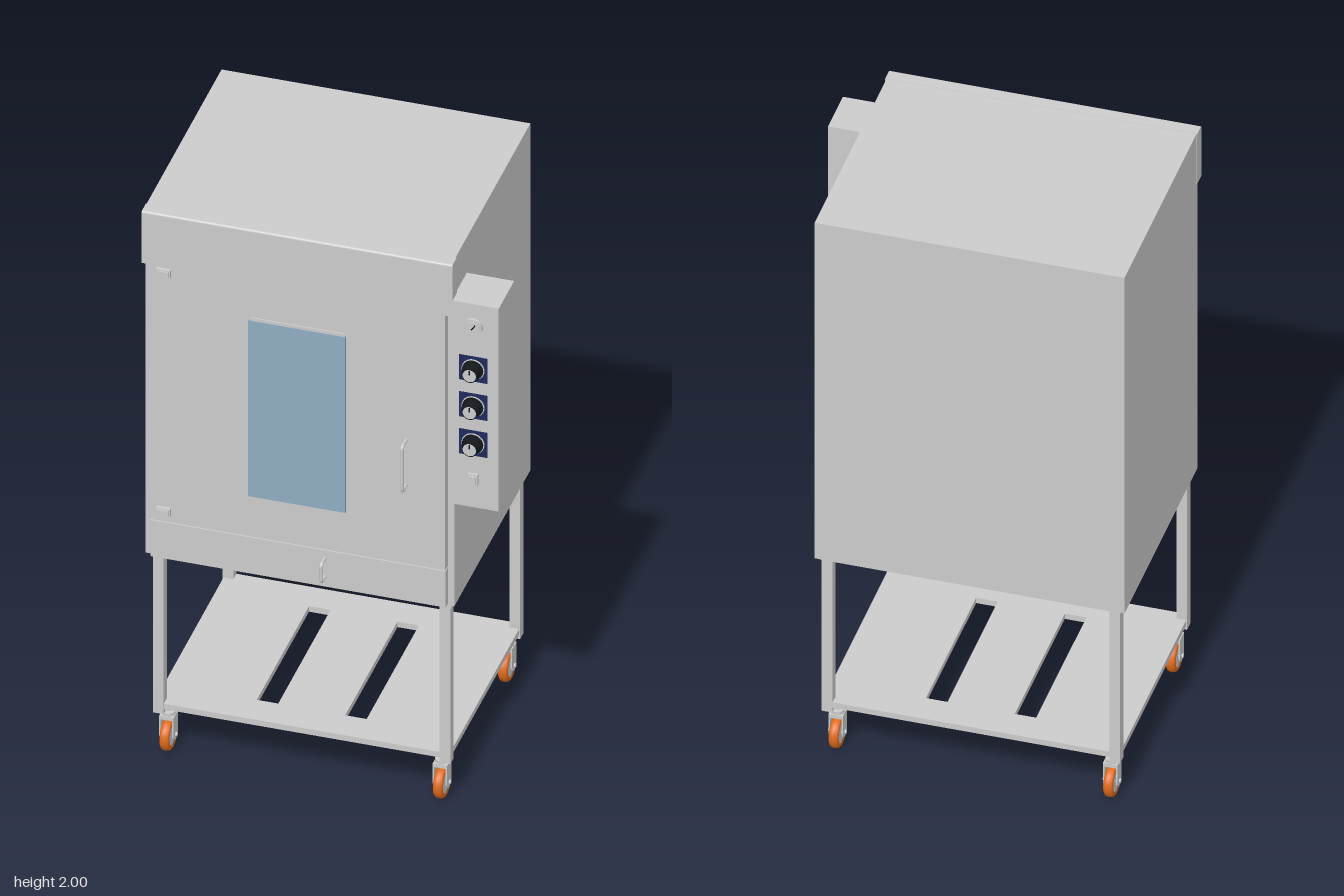
import * as THREE from 'three';

const paint = (color) => new THREE.MeshStandardMaterial({ color });
const grey = paint(0xcccccc);
const orange = paint(0xe06a1c);
const black = paint(0x14181c);
const navy = paint(0x1f2a5c);
const glass = paint(0x8fadc2);

export function createModel() {
  const model = new THREE.Group();
  const CX = -0.075; // centre line of the cabinet

  const add = (name, geometry, material = grey, parent = model) => {
    const mesh = new THREE.Mesh(geometry, material);
    mesh.name = name;
    parent.add(mesh);
    return mesh;
  };
  // Box given by its limits on each axis
  const box = (name, x0, x1, y0, y1, z0, z1, material, parent) => {
    const mesh = add(name, new THREE.BoxGeometry(x1 - x0, y1 - y0, z1 - z0), material, parent);
    mesh.position.set((x0 + x1) / 2, (y0 + y1) / 2, (z0 + z1) / 2);
    return mesh;
  };
  // Cylinder lying along z, from z0 to z1
  const disc = (name, x, y, z0, z1, r, material, parent, sides = 32, r1 = r) => {
    const g = new THREE.CylinderGeometry(r1, r, z1 - z0, sides).rotateX(Math.PI / 2);
    const mesh = add(name, g, material, parent);
    mesh.position.set(x, y, (z0 + z1) / 2);
    return mesh;
  };
  // Upright bow handle: two posts joined by a rounded bar
  const handle = (name, x, y0, y1, z0, z1, r) => {
    const b = 0.012;
    const v = (y, z) => new THREE.Vector3(x, y, z);
    const path = new THREE.CurvePath();
    path.add(new THREE.LineCurve3(v(y0, z0), v(y0, z1 - b)));
    path.add(new THREE.QuadraticBezierCurve3(v(y0, z1 - b), v(y0, z1), v(y0 + b, z1)));
    path.add(new THREE.LineCurve3(v(y0 + b, z1), v(y1 - b, z1)));
    path.add(new THREE.QuadraticBezierCurve3(v(y1 - b, z1), v(y1, z1), v(y1, z1 - b)));
    path.add(new THREE.LineCurve3(v(y1, z1 - b), v(y1, z0)));
    add(name, new THREE.TubeGeometry(path, 80, r, 10));
  };

  // Cabinet and the hood across its top front
  box('cabinet', -0.565, 0.413, 0.735, 1.999, -0.425, 0.347);
  const r = 0.008;
  const profile = new THREE.Shape();
  profile.moveTo(0.335, 1.812);
  profile.lineTo(0.38, 1.812);
  profile.lineTo(0.38, 2 - r);
  profile.quadraticCurveTo(0.38, 2, 0.38 - r, 2);
  profile.lineTo(0.335, 2);
  const hood = add('hood', new THREE.ExtrudeGeometry(profile, { depth: 0.984, bevelEnabled: false, curveSegments: 6 }));
  hood.rotation.y = -Math.PI / 2;
  hood.position.x = 0.417;
  // The profile is drawn in z and y, so it is turned to run along x

  // Door, with a slim window frame and pane, and the drawer below
  box('door', -0.542, 0.393, 0.88, 1.809, 0.345, 0.375);
  box('drawerFront', -0.542, 0.393, 0.742, 0.874, 0.345, 0.371);
  box('windowFrame', -0.223, 0.073, 1.018, 1.68, 0.37, 0.379);
  box('windowPane', -0.23, 0.078, 1.03, 1.67, 0.372, 0.381, glass);
  for (const y of [1.79, 0.92]) {
    box('hinge', -0.52, -0.475, y - 0.014, y + 0.014, 0.37, 0.388);
    box('hingeCap', -0.515, -0.48, y - 0.01, y + 0.01, 0.388, 0.392);
  }
  handle('doorHandle', 0.268, 1.167, 1.33, 0.37, 0.414, 0.006);
  handle('drawerHandle', 0.01, 0.78, 0.845, 0.366, 0.407, 0.006);

  // Control box with gauge, three knobs and a switch
  const controls = new THREE.Group();
  controls.name = 'controlPanel';
  model.add(controls);
  const KX = 0.483;
  box('controlBox', 0.405, 0.563, 1.13, 1.87, 0.22, 0.377, grey, controls);
  disc('gaugeRim', KX, 1.79, 0.375, 0.39, 0.03, grey, controls);
  disc('gaugeFace', KX, 1.79, 0.39, 0.393, 0.024, paint(0xe8e8e8), controls);
  box('gaugeNeedle', -0.002, 0.002, -0.003, 0.018, -0.001, 0.001, black, controls)
    .position.set(KX + 0.004, 1.795, 0.394);
  controls.children.at(-1).rotation.z = -0.6;
  for (const y of [1.635, 1.5, 1.365]) {
    box('knobPlate', KX - 0.045, KX + 0.045, y - 0.045, y + 0.045, 0.375, 0.38, navy, controls);
    disc('knobScale', KX, y, 0.379, 0.383, 0.036, grey, controls);
    disc('knobSkirt', KX, y, 0.383, 0.389, 0.033, black, controls);
    disc('knob', KX, y, 0.388, 0.418, 0.028, black, controls, 24, 0.025);
    disc('knobCap', KX, y, 0.417, 0.42, 0.021, grey, controls);
    box('knobMark', KX - 0.002, KX + 0.002, y + 0.004, y + 0.02, 0.419, 0.421, black, controls);
  }
  box('switchBezel', KX - 0.016, KX + 0.016, 1.216, 1.254, 0.375, 0.386, grey, controls);
  box('switchRocker', KX - 0.011, KX + 0.011, 1.221, 1.249, 0.386, 0.392, grey, controls);

  // Stand: top frame, four legs and a slotted shelf
  const stand = new THREE.Group();
  stand.name = 'stand';
  model.add(stand);
  const X0 = -0.545, X1 = 0.397, Z0 = -0.405, Z1 = 0.337, T = 0.034;
  box('topFrame', X0 - 0.006, X1 + 0.005, 0.721, 0.738, Z0 - 0.004, Z1 + 0.004, grey, stand);
  for (const x of [X0, X1 - T]) {
    for (const z of [Z0, Z1 - T]) box('leg', x, x + T, 0.15, 0.722, z, z + T, grey, stand);
  }
  const rect = (S, x0, x1, y0, y1) => {
    const s = new S();
    s.moveTo(x0, y0);
    s.lineTo(x1, y0);
    s.lineTo(x1, y1);
    s.lineTo(x0, y1);
    s.closePath();
    return s;
  };
  const shelfShape = rect(THREE.Shape, X0 + 0.003, X1 - 0.003, -Z1 + 0.003, -Z0 - 0.003);
  for (const side of [-1, 1]) {
    const x = CX + side * 0.14;
    shelfShape.holes.push(rect(THREE.Path, x - 0.034, x + 0.034, -0.23, 0.3));
  }
  const shelf = add('shelf', new THREE.ExtrudeGeometry(shelfShape, { depth: 0.02, bevelEnabled: false }), grey, stand);
  shelf.rotation.x = -Math.PI / 2;
  shelf.position.y = 0.166;

  // Casters: rounded tyre, grey hub, fork and stem
  const tyre = [[0.036, -0.014], [0.046, -0.015], [0.051, -0.011], [0.054, 0], [0.051, 0.011], [0.046, 0.015], [0.036, 0.014]]
    .map(([a, b]) => new THREE.Vector2(a, b));
  const cheek = new THREE.Shape();
  cheek.moveTo(-0.022, 0.128);
  cheek.lineTo(-0.022, 0.06);
  cheek.absarc(0, 0.06, 0.022, Math.PI, Math.PI * 2, false);
  cheek.lineTo(0.022, 0.128);
  cheek.closePath();
  for (const x of [-0.508, 0.358]) {
    for (const z of [0.295, -0.365]) {
      const caster = new THREE.Group();
      caster.name = 'caster';
      caster.position.set(x, 0, z);
      model.add(caster);
      const wheel = add('tyre', new THREE.LatheGeometry(tyre, 36).rotateZ(Math.PI / 2), orange, caster);
      wheel.position.y = 0.054;
      const hub = add('hub', new THREE.CylinderGeometry(0.037, 0.037, 0.026, 32).rotateZ(Math.PI / 2), grey, caster);
      hub.position.y = 0.054;
      const axle = add('axle', new THREE.CylinderGeometry(0.007, 0.007, 0.056, 12).rotateZ(Math.PI / 2), grey, caster);
      axle.position.y = 0.056;
      for (const s of [-1, 1]) {
        const plate = add('forkCheek', new THREE.ExtrudeGeometry(cheek, { depth: 0.005, bevelEnabled: false }), grey, caster);
        plate.rotation.y = Math.PI / 2;
        plate.position.x = s * 0.0205 - 0.0025;
      }
      box('forkCrown', -0.023, 0.023, 0.115, 0.128, -0.022, 0.022, grey, caster);
      const swivel = add('swivel', new THREE.CylinderGeometry(0.021, 0.021, 0.012, 24), grey, caster);
      swivel.position.y = 0.133;
      const stem = add('stem', new THREE.CylinderGeometry(0.007, 0.007, 0.03, 12), grey, caster);
      stem.position.y = 0.152;
    }
  }
  return model;
}
